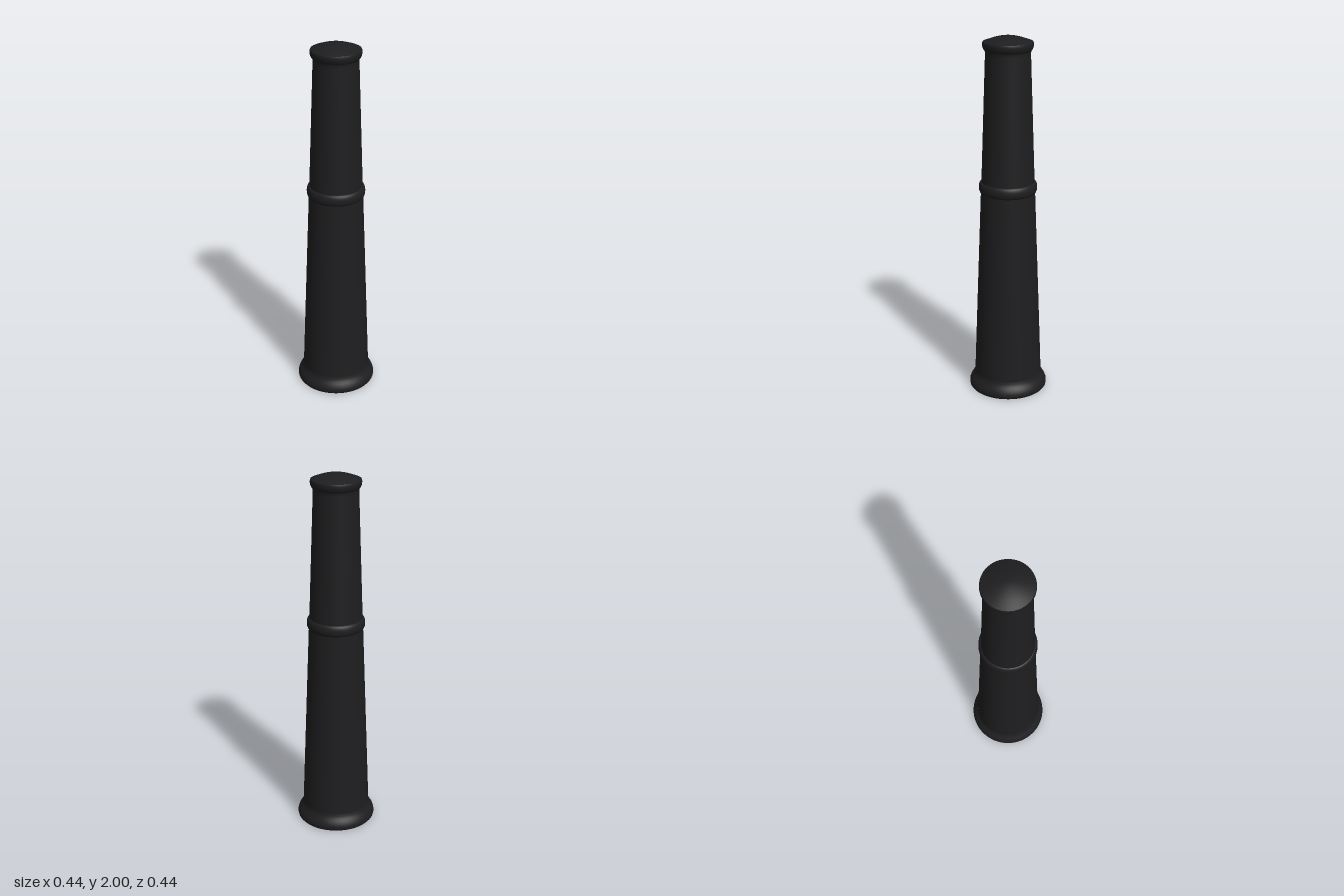
import * as THREE from 'three';

const SEGMENTS = 64;

export function createModel() {
  const group = new THREE.Group();
  group.name = 'taperedPost';
  const material = new THREE.MeshStandardMaterial({ color: 0x1e1e20 });

  // Turned part from [radius, height] pairs, listed bottom to top
  const turned = (name, profile) => {
    const points = profile.map(([r, y]) => new THREE.Vector2(r, y));
    const mesh = new THREE.Mesh(new THREE.LatheGeometry(points, SEGMENTS), material);
    mesh.name = name;
    group.add(mesh);
  };

  // Rounded bead: half an ellipse bulging out from radius r
  const bead = (r, bulge, y, halfHeight, steps = 12) =>
    Array.from({ length: steps + 1 }, (_, i) => {
      const a = -Math.PI / 2 + (Math.PI * i) / steps;
      return [r + bulge * Math.cos(a), y + halfHeight * Math.sin(a)];
    });

  // Flat underside and flared foot
  turned('underside', [[0, 0], [0.211, 0]]);
  turned('foot', [
    [0.211, 0], [0.216, 0.006], [0.218, 0.016], [0.217, 0.028], [0.212, 0.042],
    [0.204, 0.055], [0.196, 0.066], [0.19, 0.078], [0.187, 0.092],
  ]);

  // Two tapering shafts with the collar between them
  turned('lowerShaft', [[0.187, 0.09], [0.147, 1.155]]);
  turned('collar', bead(0.143, 0.015, 1.182, 0.032));
  turned('upperShaft', [[0.144, 1.205], [0.12, 1.9], [0.1205, 1.915], [0.124, 1.928]]);

  // Cap rim and shallow domed top
  turned('capRim', [
    [0.121, 1.92], [0.126, 1.926], [0.131, 1.935], [0.134, 1.945],
    [0.135, 1.955], [0.134, 1.964], [0.132, 1.968],
  ]);
  turned('capDome', [
    [0.132, 1.968], [0.11, 1.976], [0.085, 1.985], [0.06, 1.992],
    [0.035, 1.997], [0.015, 1.9995], [0, 2],
  ]);

  return group;
}
